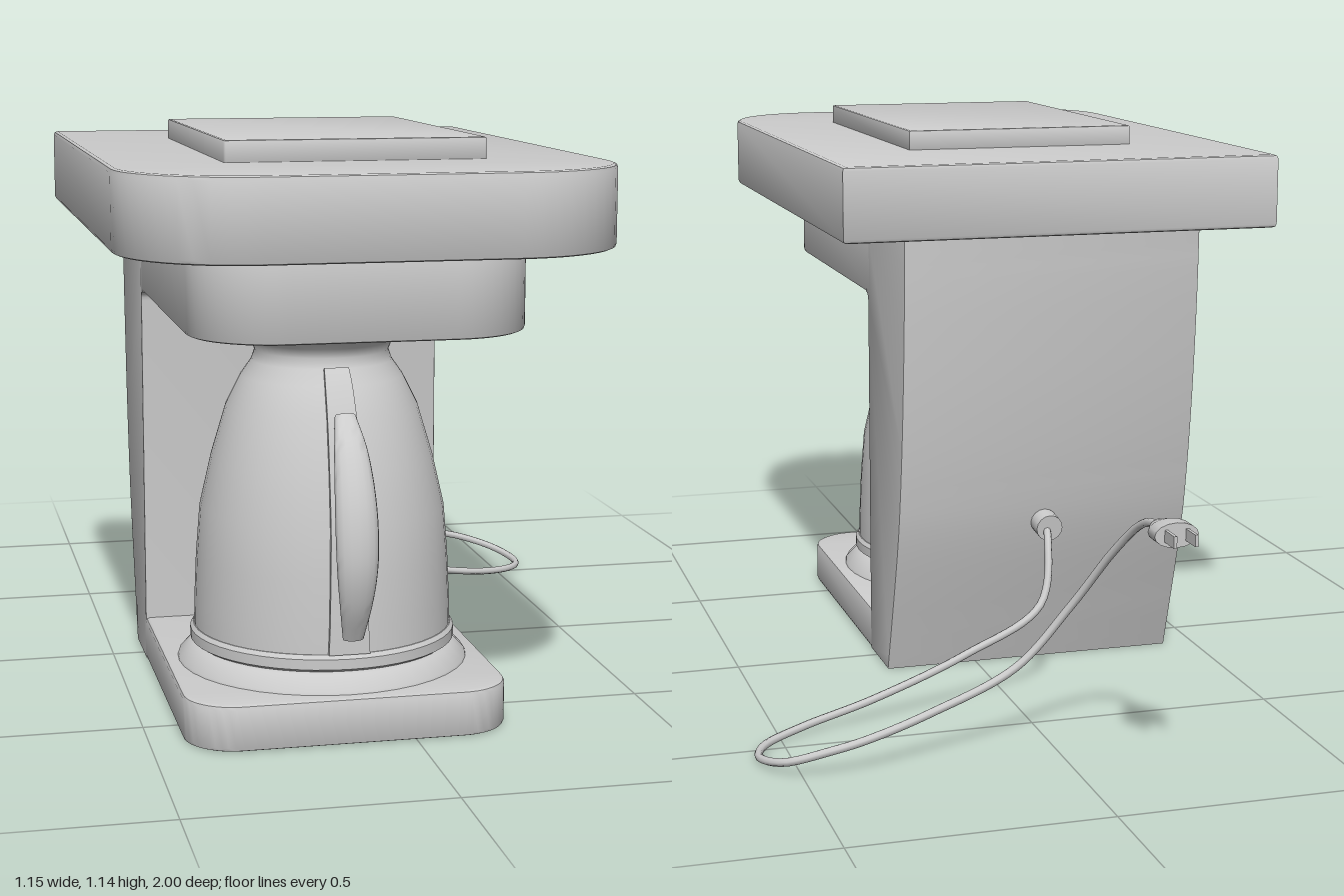
import * as THREE from 'three';
import { toCreasedNormals } from 'three/addons/utils/BufferGeometryUtils.js';

const CX = -0.12; // centre line of the machine
const CZ = 0.37;  // centre of the carafe
const grey = new THREE.MeshStandardMaterial({ color: 0xcccccc });

function add(parent, name, geo, crease = 0.6) {
  const mesh = new THREE.Mesh(crease ? toCreasedNormals(geo, crease) : geo, grey);
  mesh.name = name;
  parent.add(mesh);
  return mesh;
}

function extrude(shape, depth, bevel, curveSegments = 6) {
  const geo = new THREE.ExtrudeGeometry(shape, {
    depth: depth - 2 * bevel, curveSegments, bevelEnabled: bevel > 0,
    bevelThickness: bevel, bevelSize: bevel, bevelOffset: -bevel, bevelSegments: 2,
  });
  return geo.translate(0, 0, bevel);
}

// Horizontal slab with rounded front corners
function slab(halfW, zBack, zFront, y0, y1, r, bevel = 0.008) {
  const s = new THREE.Shape();
  s.moveTo(-halfW, zBack);
  s.lineTo(halfW, zBack);
  s.lineTo(halfW, zFront - r);
  s.absarc(halfW - r, zFront - r, r, 0, Math.PI / 2, false);
  s.absarc(r - halfW, zFront - r, r, Math.PI / 2, Math.PI, false);
  s.closePath();
  return extrude(s, y1 - y0, bevel).rotateX(Math.PI / 2).translate(CX, y1, 0);
}

// Bends a unit-height geometry along a downward [z, y] path, with half sizes by t
function bend(geo, path, halfWidth, halfThick) {
  const curve = new THREE.CatmullRomCurve3(path.map(([z, y]) => new THREE.Vector3(0, y, z)));
  const p = geo.attributes.position;
  for (let i = 0; i < p.count; i++) {
    const t = THREE.MathUtils.clamp(0.5 - p.getY(i), 0, 1);
    const c = curve.getPoint(t), d = curve.getTangent(t);
    const k = p.getZ(i) * halfThick(t);
    p.setXYZ(i, CX + p.getX(i) * halfWidth(t), c.y + d.z * k, c.z - d.y * k);
  }
  return geo;
}

const lathe = (pts, segments = 40) =>
  new THREE.LatheGeometry(pts.map(([r, y]) => new THREE.Vector2(r, y)), segments);

function createHousing() {
  const g = new THREE.Group();
  g.name = 'housing';
  add(g, 'topSlab', slab(0.455, -0.33, 0.995, 0.95, 1.10, 0.23));
  add(g, 'reservoirLid', slab(0.243, -0.03, 0.69, 1.09, 1.14, 0.005, 0.004));
  add(g, 'brewHead', slab(0.315, 0.04, 0.84, 0.79, 0.955, 0.16));
  add(g, 'base', slab(0.315, 0.04, 0.685, 0, 0.09, 0.1));

  // Column with a curved back and small fillets at the front
  const s = new THREE.Shape();
  s.moveTo(0.05, 0);
  s.lineTo(0.05, 0.77);
  s.quadraticCurveTo(0.05, 0.79, 0.07, 0.79);
  s.lineTo(0.07, 0.955);
  s.lineTo(-0.26, 0.955);
  s.splineThru([[-0.255, 0.8], [-0.24, 0.6], [-0.217, 0.42], [-0.185, 0.27], [-0.1, 0]]
    .map(([z, y]) => new THREE.Vector2(z, y)));
  s.closePath();
  add(g, 'column', extrude(s, 0.63, 0.003, 5).rotateY(-Math.PI / 2).translate(CX + 0.315, 0, 0));

  add(g, 'dripOutlet', lathe([[0, 0.745], [0.035, 0.745], [0.035, 0.766], [0.115, 0.766],
    [0.135, 0.795], [0, 0.795]])).position.set(CX, 0, CZ);
  add(g, 'warmingPlate', lathe([[0.29, 0.088], [0.288, 0.095], [0.262, 0.122], [0.25, 0.126],
    [0, 0.126]])).position.set(CX, 0, CZ);
  return g;
}

function createCarafe() {
  const g = new THREE.Group();
  g.name = 'carafe';
  const profile = [[0.256, 0.16], [0.255, 0.21], [0.251, 0.3], [0.243, 0.4], [0.22, 0.5],
    [0.19, 0.6], [0.16, 0.66], [0.139, 0.69], [0.132, 0.71], [0.139, 0.728], [0.163, 0.745],
    [0.163, 0.75], [0.155, 0.75], [0.13, 0.728], [0.12, 0.71], [0, 0.71]];
  const body = lathe(profile, 48);
  // Pull the rim backwards into a pouring spout
  const p = body.attributes.position;
  for (let i = 0; i < p.count; i++) {
    const x = p.getX(i), y = p.getY(i), z = p.getZ(i), r = Math.hypot(x, z);
    if (y < 0.685 || r < 0.121 || z > 0) continue;
    const k = Math.pow(-z / r, 8) * Math.min(1, (y - 0.685) / 0.06);
    p.setXYZ(i, x, y - 0.014 * k, z - 0.04 * k);
  }
  add(g, 'carafeBody', body, 0.8).position.set(CX, 0, CZ);
  add(g, 'carafeFoot', lathe([[0, 0.126], [0.255, 0.126], [0.264, 0.132], [0.264, 0.152],
    [0.258, 0.16], [0, 0.16]], 48)).position.set(CX, 0, CZ);

  // Mounting strip lying on the front of the body
  const strip = profile.slice(0, 8).reverse().map(([r, y]) => [CZ + r, y]);
  add(g, 'handleStrip', bend(new THREE.BoxGeometry(2, 1, 2, 1, 24, 1), strip,
    t => 0.024 + 0.016 * t, () => 0.006));

  // Crescent grip and its two posts
  add(g, 'handle', bend(new THREE.CylinderGeometry(1, 1, 1, 16, 28),
    [[0.59, 0.615], [0.642, 0.555], [0.685, 0.46], [0.7, 0.36], [0.69, 0.28], [0.662, 0.2]],
    t => 0.02 + 0.021 * Math.sin(Math.PI * t), t => 0.008 + 0.015 * Math.sin(Math.PI * t)), 0.9);
  for (const [y, z, tilt] of [[0.565, 0.6, 0.4], [0.255, 0.65, 0]]) {
    const post = add(g, 'handlePost', new THREE.BoxGeometry(0.034, 0.024, 0.07));
    post.position.set(CX, y, z);
    post.rotation.x = tilt;
  }
  return g;
}

function createCord() {
  const g = new THREE.Group();
  g.name = 'powerCord';
  const path = [[-0.12, 0.325, -0.21], [-0.11, 0.31, -0.26], [-0.07, 0.19, -0.335],
    [0.1, 0.11, -0.37], [0.3, 0.045, -0.4], [0.45, 0.018, -0.44], [0.54, 0.01, -0.5],
    [0.563, 0.01, -0.56], [0.53, 0.025, -0.64], [0.45, 0.05, -0.672], [0.38, 0.065, -0.672],
    [0.25, 0.095, -0.645], [0.07, 0.16, -0.615], [-0.03, 0.28, -0.64], [-0.09, 0.41, -0.72],
    [-0.115, 0.48, -0.8], [-0.12, 0.497, -0.88]].map(v => new THREE.Vector3(...v));
  add(g, 'cord', new THREE.TubeGeometry(new THREE.CatmullRomCurve3(path), 110, 0.008, 8), 0);

  // Strain relief at the back of the column
  const relief = add(g, 'cordSocket', new THREE.CylinderGeometry(0.028, 0.028, 0.06, 16)
    .rotateX(Math.PI / 2));
  relief.position.set(CX, 0.328, -0.212);
  relief.rotation.x = -0.12;

  // Flattened plug with two blades
  const plug = add(g, 'plug', lathe([[0, 0], [0.016, 0], [0.024, 0.012], [0.042, 0.05],
    [0.042, 0.085], [0, 0.085]], 16).rotateX(-Math.PI / 2));
  plug.scale.y = 0.55;
  plug.position.set(CX, 0.498, -0.87);
  for (const side of [-1, 1]) {
    add(g, 'plugBlade', new THREE.BoxGeometry(0.006, 0.022, 0.055))
      .position.set(CX + side * 0.02, 0.498, -0.9725);
  }
  return g;
}

export function createModel() {
  const model = new THREE.Group();
  model.name = 'coffeeMaker';
  model.add(createHousing(), createCarafe(), createCord());
  return model;
}
